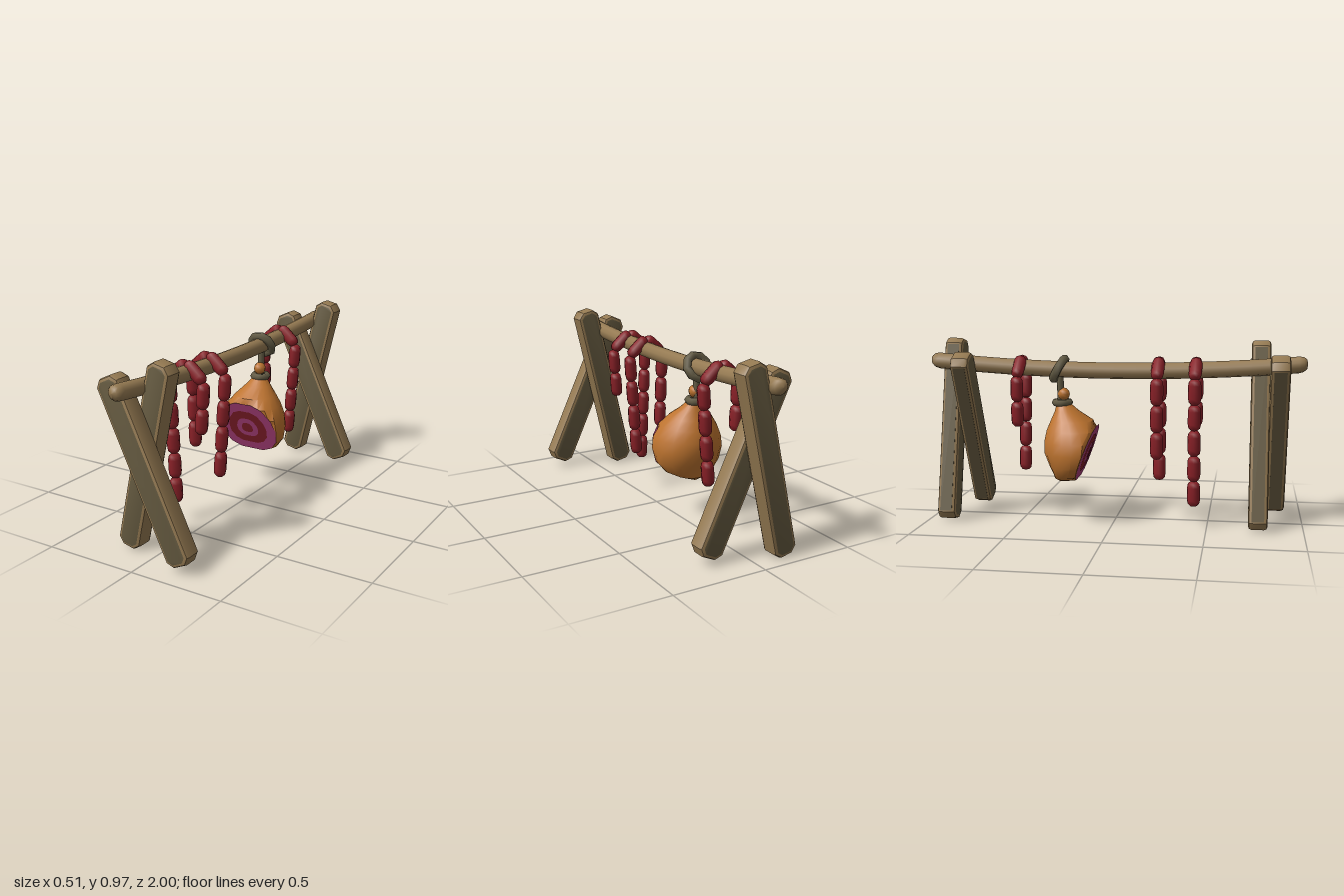
import * as THREE from 'three';
import { toCreasedNormals } from 'three/addons/utils/BufferGeometryUtils.js';

const mat = (name, color, side = THREE.FrontSide) => {
  const m = new THREE.MeshStandardMaterial({ color, side });
  m.name = name;
  return m;
};
const V = (x, y, z) => new THREE.Vector3(x, y, z);
const BX = -0.066; // beam centre line in x
const beamY = z => 0.865 - 0.047 * (1 - z * z);

export function createModel() {
  const wood = mat('wood', 0x957a52);
  const darkWood = mat('dark wood', 0x655a40);
  const rope = mat('rope', 0x645c45);
  const skin = mat('ham skin', 0xbe742f);
  const red = mat('sausage red', 0x8a2027);
  const pink = mat('ham fat pink', 0xa33c74, THREE.DoubleSide);
  const lean = mat('ham lean red', 0x7c1c26, THREE.DoubleSide);

  const root = new THREE.Group();
  root.name = 'meatRack';
  const add = (parent, name, geometry, material) => {
    const m = new THREE.Mesh(geometry, material);
    m.name = name;
    parent.add(m);
    return m;
  };

  // Crossed planks: bevelled, with darker broad faces
  function plank(name, bottom, top, z, width) {
    const g = new THREE.Group();
    g.name = name;
    const b = 0.018, c = 0.022;
    const w = width / 2 - b, h = bottom.distanceTo(top) / 2 - b;
    const s = new THREE.Shape([
      [w - c, -h], [w, -h + c], [w, h - c], [w - c, h],
      [-w + c, h], [-w, h - c], [-w, -h + c], [-w + c, -h],
    ].map(p => new THREE.Vector2(...p)));
    const geo = new THREE.ExtrudeGeometry(s, {
      depth: 0.1 - 2 * b, bevelEnabled: true, bevelSize: b, bevelThickness: b, bevelSegments: 2,
    });
    geo.translate(0, 0, -0.05 + b);
    add(g, name + 'Body', toCreasedNormals(geo, 0.6), [darkWood, wood]);
    add(g, name + 'SideFace', new THREE.BoxGeometry(0.004, 2 * (h - c), 0.1 - 2 * b), darkWood)
      .position.x = -width / 2;
    g.position.set((bottom.x + top.x) / 2, (bottom.y + top.y) / 2, z);
    g.rotation.z = Math.atan2(bottom.x - top.x, top.y - bottom.y);
    root.add(g);
  }
  for (const [end, z] of [['front', 0.86], ['back', -0.8]]) {
    plank(end + 'WideLeg', V(0.21, 0.045, 0), V(-0.19, 0.9, 0), z, 0.138);
    plank(end + 'SteepLeg', V(-0.17, 0.012, 0), V(0.052, 0.972, 0), z - 0.095, 0.13);
  }

  // Sagging beam with rounded ends
  const profile = [[0, -1], [0.024, -0.996], [0.038, -0.98]];
  for (let i = 0; i <= 16; i++) profile.push([0.043, -0.955 + i * 1.91 / 16]);
  profile.push([0.038, 0.98], [0.024, 0.996], [0, 1]);
  const beam = new THREE.LatheGeometry(profile.map(p => new THREE.Vector2(...p)), 10);
  beam.rotateX(Math.PI / 2);
  const bp = beam.attributes.position;
  for (let i = 0; i < bp.count; i++) bp.setXY(i, bp.getX(i) + BX, bp.getY(i) + beamY(bp.getZ(i)));
  beam.computeVertexNormals();
  add(root, 'beam', beam, wood);

  // Sausage chains draped over the beam
  const link = new THREE.LatheGeometry(
    [[0, -0.5], [0.018, -0.49], [0.03, -0.4], [0.034, -0.25], [0.034, 0.25], [0.03, 0.4], [0.018, 0.49], [0, 0.5]]
      .map(p => new THREE.Vector2(...p)), 8);
  function sausage(parent, a, b) {
    const d = b.clone().sub(a);
    const m = add(parent, 'sausage', link, red);
    m.position.copy(a).add(b).multiplyScalar(0.5);
    m.scale.y = d.length();
    m.quaternion.setFromUnitVectors(V(0, 1, 0), d.normalize());
  }
  for (const [z, leftCount, rightCount, bottom] of [[0.43, 5, 2, 0.12], [0.235, 3, 4, 0.225], [-0.505, 2, 4, 0.26]]) {
    const chain = new THREE.Group();
    chain.name = 'sausageChain';
    const pitch = (0.79 - bottom) / Math.max(leftCount, rightCount);
    for (const [count, x0, x1] of [[leftCount, -0.172, -0.15], [rightCount, 0.035, -0.005]]) {
      let a = V(BX, 0.882, z);
      for (let i = 0; i <= count; i++) {
        const b = V(x0 + (x1 - x0) * i / 4, 0.79 - i * pitch, z);
        sausage(chain, a, b);
        a = b;
      }
    }
    root.add(chain);
  }

  // Ham: stacked rings, sliced flat along a tilted plane at the front
  const ham = new THREE.Group();
  ham.name = 'ham';
  root.add(ham);
  const cutZ = y => -0.105 + (y - 0.5) * 0.36;
  // y, half width, centre z, back radius
  const rings = [
    [0.215, 0.012, -0.285, 0.012], [0.235, 0.085, -0.25, 0.075], [0.26, 0.138, -0.23, 0.1], [0.31, 0.178, -0.21, 0.142],
    [0.38, 0.19, -0.2, 0.18], [0.44, 0.181, -0.2, 0.18], [0.5, 0.152, -0.21, 0.157], [0.55, 0.115, -0.23, 0.115],
    [0.6, 0.07, -0.262, 0.06], [0.65, 0.03, -0.28, 0.03],
  ];
  const N = 20, pos = [], idx = [];
  rings.forEach(([y, r, zc, back], j) => {
    for (let i = 0; i < N; i++) {
      const t = i / N * Math.PI * 2, s = Math.sin(t);
      pos.push(BX + r * Math.cos(t), y, Math.min(zc + s * (s > 0 ? r : back), cutZ(y)));
      if (j) {
        const a = (j - 1) * N + i, b = (j - 1) * N + (i + 1) % N;
        idx.push(a, a + N, b, b, a + N, b + N);
      }
    }
  });
  for (let i = 1; i < N - 1; i++) idx.push(0, i, i + 1);
  const body = new THREE.BufferGeometry();
  body.setAttribute('position', new THREE.Float32BufferAttribute(pos, 3));
  body.setIndex(idx);
  add(ham, 'hamBody', toCreasedNormals(body, 0.6), skin);

  // Concentric layers on the cut
  const half = [[0.237, 0.07], [0.26, 0.128], [0.31, 0.172], [0.38, 0.179], [0.44, 0.161], [0.5, 0.112], [0.525, 0.05]];
  const outline = [...half, ...half.slice().reverse().map(([y, w]) => [y, -w])];
  [[1, pink], [0.68, lean], [0.38, pink], [0.2, lean]].forEach(([s, m], k) => {
    const geo = new THREE.ShapeGeometry(new THREE.Shape(
      outline.map(([y, w]) => new THREE.Vector2(BX + w * s, 0.375 + (y - 0.375) * s))));
    const p = geo.attributes.position;
    for (let i = 0; i < p.count; i++) p.setZ(i, cutZ(p.getY(i)) + 0.003 + k * 0.002);
    geo.computeVertexNormals();
    add(ham, 'cutLayer', geo, m);
  });
  add(ham, 'hamKnuckle', new THREE.SphereGeometry(0.034, 8, 6), skin).position.set(BX, 0.69, -0.275);

  // Rope: collar, hanging strand and loop around the beam
  const collar = add(root, 'ropeCollar', new THREE.TorusGeometry(0.038, 0.02, 6, 10), rope);
  collar.rotation.x = Math.PI / 2;
  collar.position.set(BX, 0.645, -0.282);
  add(root, 'ropeStrand', new THREE.CylinderGeometry(0.018, 0.018, 0.16, 6), rope).position.set(BX, 0.73, -0.292);
  const loop = add(root, 'ropeLoop', new THREE.TorusGeometry(0.062, 0.024, 6, 9), rope);
  loop.rotation.x = 0.5;
  loop.position.set(BX, 0.822, -0.298);

  return root;
}
